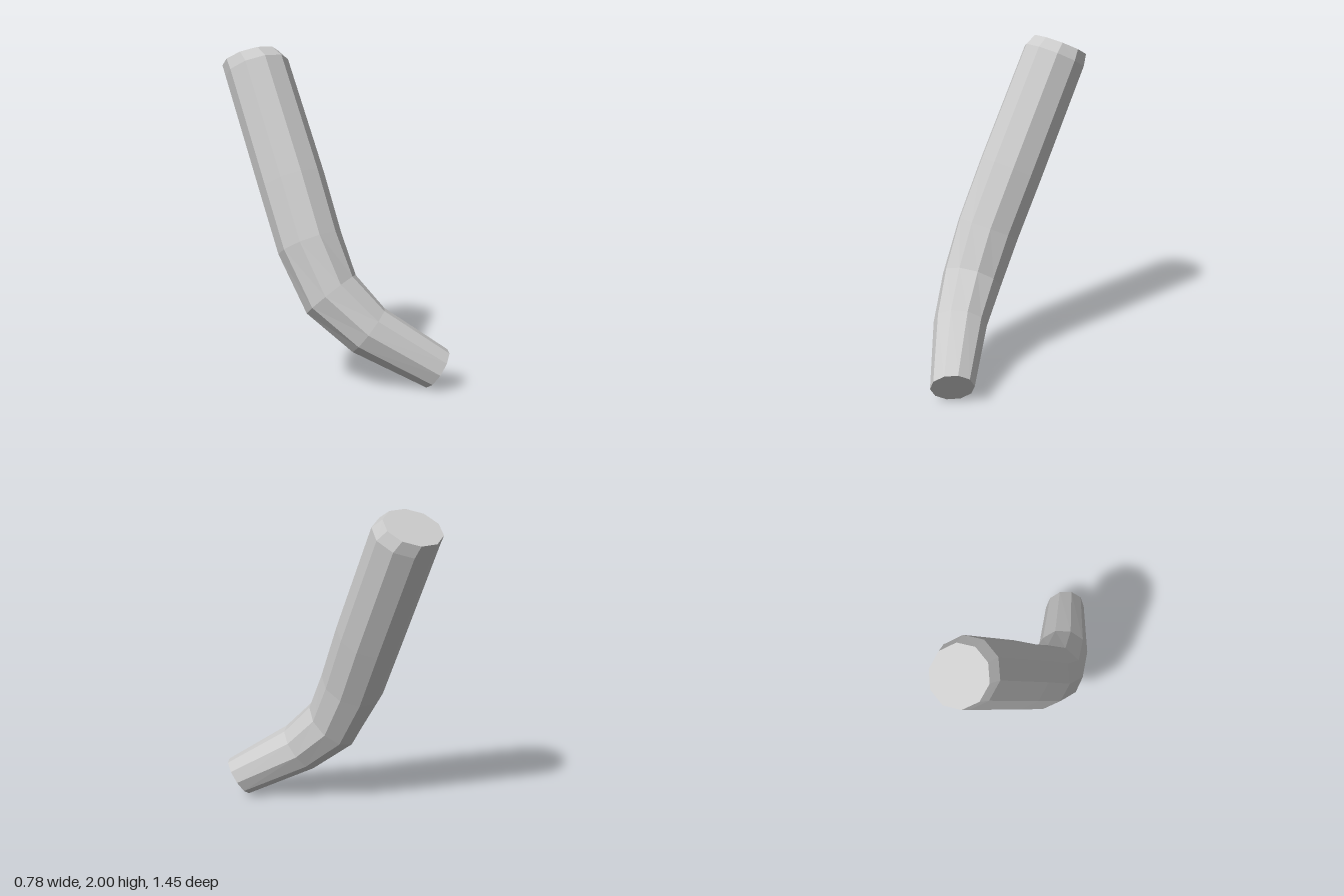
import * as THREE from 'three';

const SIDES = 10;

// Cross-sections from the top of the shaft to the small end: centre, axis direction, radius
const SECTIONS = [
  { c: [-0.2, 1.93, -0.565], t: [0, -0.9, 0.43], r: 0.178 },
  { c: [-0.188, 1.87, -0.512], t: [0, -0.894, 0.447], r: 0.2 },
  { c: [-0.184, 1.2, -0.172], t: [0, -0.894, 0.447], r: 0.204 },
  { c: [-0.184, 0.84, 0.005], t: [0.05, -0.88, 0.46], r: 0.2 },
  { c: [-0.145, 0.55, 0.16], t: [0.33, -0.74, 0.56], r: 0.187 },
  { c: [-0.01, 0.345, 0.345], t: [0.58, -0.6, 0.55], r: 0.163 },
  { c: [0.295, 0.113, 0.617], t: [0.71, -0.54, 0.46], r: 0.131 },
];

// Points of one ring, running anticlockwise about its axis
function ring({ c, t, r }) {
  const axis = new THREE.Vector3(...t).normalize();
  const u = new THREE.Vector3(1, 0, 0);
  u.addScaledVector(axis, -u.dot(axis)).normalize();
  const v = new THREE.Vector3().crossVectors(axis, u);
  return Array.from({ length: SIDES }, (_, j) => {
    const a = (j / SIDES) * Math.PI * 2;
    return new THREE.Vector3(...c)
      .addScaledVector(u, r * Math.cos(a))
      .addScaledVector(v, r * Math.sin(a));
  });
}

// Faceted skin: unshared corners give flat normals
function facets(triangles) {
  const geometry = new THREE.BufferGeometry().setFromPoints(triangles);
  geometry.computeVertexNormals();
  return geometry;
}

export function createModel() {
  const group = new THREE.Group();
  group.name = 'bentLimb';
  const grey = new THREE.MeshStandardMaterial({ color: 0xcccccc });
  grey.name = 'light grey';

  const add = (name, triangles) => {
    const mesh = new THREE.Mesh(facets(triangles), grey);
    mesh.name = name;
    group.add(mesh);
  };

  const rings = SECTIONS.map(ring);

  // Curved wall between neighbouring rings
  const wall = [];
  for (let i = 0; i < rings.length - 1; i++) {
    for (let j = 0; j < SIDES; j++) {
      const k = (j + 1) % SIDES;
      const [a, b, c, d] = [rings[i][j], rings[i][k], rings[i + 1][j], rings[i + 1][k]];
      wall.push(a, b, c, b, d, c);
    }
  }
  add('limb', wall);

  // Flat ends
  const cap = (points) => {
    const out = [];
    for (let j = 1; j < SIDES - 1; j++) out.push(points[0], points[j], points[j + 1]);
    return out;
  };
  add('topEnd', cap([...rings[0]].reverse()));
  add('lowerEnd', cap(rings[rings.length - 1]));

  return group;
}
